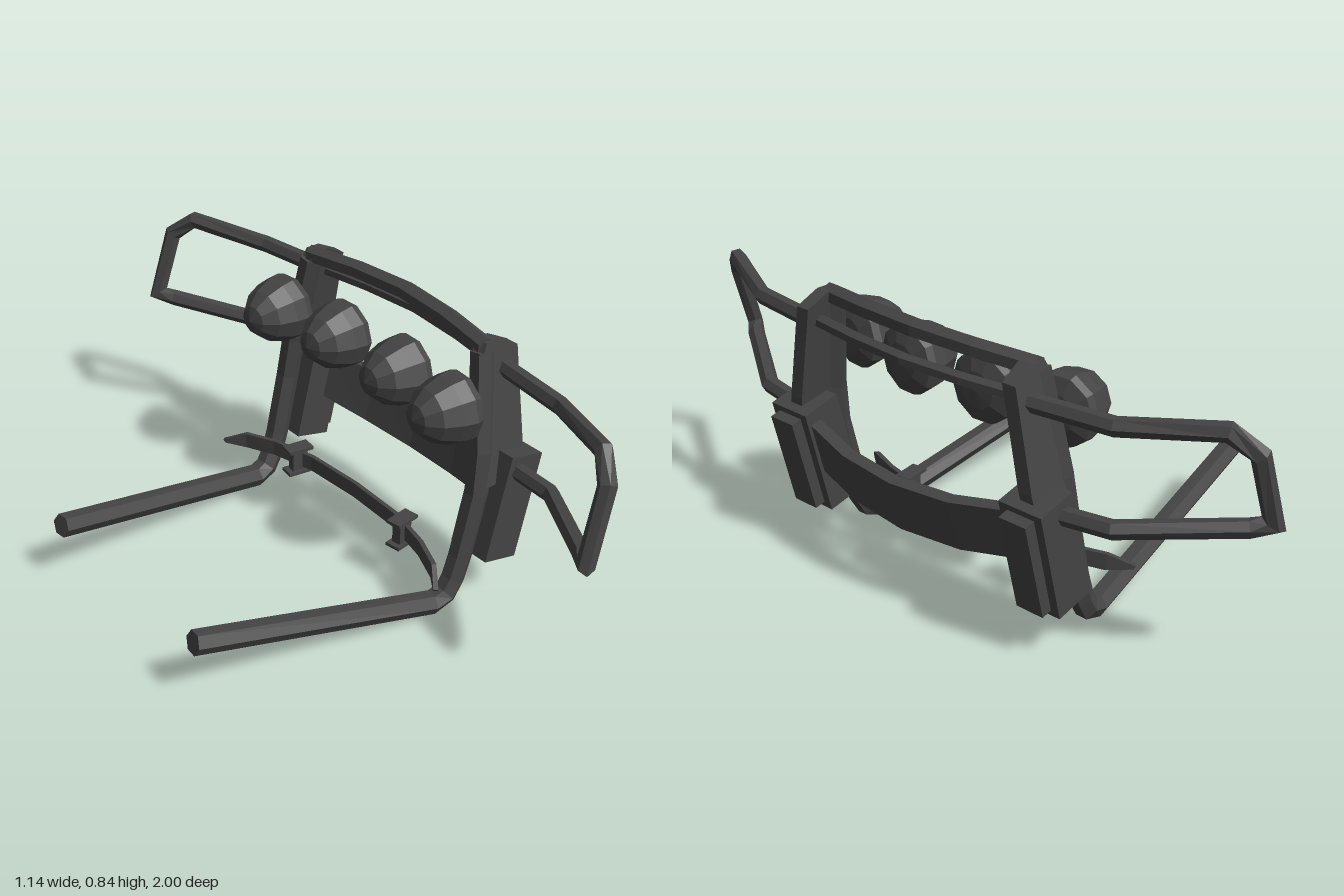
import * as THREE from 'three';

const material = new THREE.MeshStandardMaterial({ color: 0x444444, flatShading: true, roughness: 0.8 });
const V = (p) => new THREE.Vector3(...p);

// Sweeps a closed section [a, b] along a polyline with mitred corners.
// The a axis follows ref, the b axis is tangent x a.
function sweep(path, section, ref) {
  const pts = path.map(V), n = section.length, verts = [], index = [];
  pts.forEach((p, i) => {
    const t1 = i > 0 ? p.clone().sub(pts[i - 1]).normalize() : null;
    const t2 = i < pts.length - 1 ? pts[i + 1].clone().sub(p).normalize() : null;
    const before = t1 || t2, after = t2 || t1;
    const t = before.clone().add(after).normalize();
    const u = V(ref).addScaledVector(t, -V(ref).dot(t)).normalize();
    const w = t.clone().cross(u);
    const bend = after.clone().sub(before).normalize();
    const stretch = 1 / t.dot(after) - 1;
    for (const [a, b] of section) {
      const d = u.clone().multiplyScalar(a).addScaledVector(w, b);
      d.addScaledVector(bend, d.dot(bend) * stretch);
      verts.push(...d.add(p).toArray());
    }
  });
  for (let i = 0; i < pts.length - 1; i++) {
    for (let j = 0; j < n; j++) {
      const a = i * n + j, b = i * n + (j + 1) % n;
      index.push(a, b, b + n, a, b + n, a + n);
    }
  }
  const last = (pts.length - 1) * n;
  for (let j = 1; j < n - 1; j++) {
    index.push(0, j + 1, j, last, last + j, last + j + 1);
  }
  const g = new THREE.BufferGeometry();
  g.setAttribute('position', new THREE.Float32BufferAttribute(verts, 3));
  g.setIndex(index);
  const flat = g.toNonIndexed();
  flat.computeVertexNormals();
  return flat;
}

const round = (r, sides = 6) => Array.from({ length: sides }, (_, i) => {
  const a = (i / sides) * Math.PI * 2;
  return [r * Math.cos(a), r * Math.sin(a)];
});
const rect = (a, b) => [[a / 2, -b / 2], [a / 2, b / 2], [-a / 2, b / 2], [-a / 2, -b / 2]];
// Completes a half path that starts on the centre plane
const mirrored = (half) => [...half.slice(1).reverse().map(([x, y, z]) => [x, y, -z]), ...half];

export function createModel() {
  const model = new THREE.Group();
  const add = (name, geometry, parent = model) => {
    const mesh = new THREE.Mesh(geometry, material);
    mesh.name = name;
    parent.add(mesh);
    return mesh;
  };

  // Cross members, bowed forward in the middle
  add('topRail', sweep(mirrored([[0.45, 0.812, 0], [0.435, 0.808, 0.2], [0.405, 0.8, 0.385]]), round(0.03), [0, 1, 0]));
  add('middleRail', sweep(mirrored([[0.5, 0.74, 0], [0.485, 0.738, 0.2], [0.455, 0.735, 0.4]]), round(0.02), [0, 1, 0]));
  add('frontPanel', sweep(mirrored([[0.533, 0.328, 0], [0.518, 0.337, 0.2], [0.475, 0.365, 0.4]]), rect(0.16, 0.035), [0.23, 0.97, 0]));

  // Thin curved lower blade with tapered tips
  const blade = sweep(mirrored([[0.28, 0.18, 0], [0.27, 0.18, 0.2], [0.235, 0.178, 0.35], [0.195, 0.172, 0.45], [0.15, 0.16, 0.51]]), rect(0.05, 0.014), [0, 1, 0]);
  const pos = blade.attributes.position;
  for (let i = 0; i < pos.count; i++) {
    if (Math.abs(pos.getZ(i)) > 0.49) pos.setY(i, 0.158 + (pos.getY(i) - 0.16) * 0.2);
  }
  blade.computeVertexNormals();
  add('lowerBlade', blade);

  // Lamp profile: domed back, shallow lens in front
  const lampProfile = [[0, -0.15], [0.045, -0.135], [0.08, -0.095], [0.1, -0.04], [0.106, 0], [0.1, 0.022], [0.055, 0.04], [0, 0.044]]
    .map(([r, y]) => new THREE.Vector2(r, y));

  for (const s of [1, -1]) {
    const side = new THREE.Group();
    side.name = s > 0 ? 'leftSide' : 'rightSide';
    model.add(side);
    const m = (path) => path.map(([x, y, z]) => [x, y, z * s]);

    // Mounting arm that bends up into the upright
    add('mountingArm', sweep(m([
      [-0.565, 0.215, 0.34], [0.215, 0.037, 0.43], [0.262, 0.055, 0.435], [0.288, 0.1, 0.437],
      [0.31, 0.17, 0.438], [0.355, 0.37, 0.44], [0.37, 0.5, 0.43], [0.4, 0.79, 0.378],
    ]), round(0.036), [0, 0, 1]), side);

    // Broad upright plate leaning inward towards the top
    const outline = [[0.36, 0.4], [0.5, 0.4], [0.51, 0.5], [0.51, 0.785], [0.44, 0.82], [0.395, 0.82], [0.38, 0.79]];
    const shape = new THREE.Shape(outline.map(([x, y]) => new THREE.Vector2(x, y)));
    const plate = new THREE.ExtrudeGeometry(shape, { depth: 0.045, bevelEnabled: false });
    const pp = plate.attributes.position;
    for (let i = 0; i < pp.count; i++) {
      pp.setZ(i, pp.getZ(i) - 0.0225 + s * (0.437 - (pp.getY(i) - 0.48) * 0.185));
    }
    plate.computeVertexNormals();
    add('upright', plate, side);

    // Side guard loop, swept back at its outer end
    add('sideGuard', sweep(m([
      [0.465, 0.73, 0.38], [0.43, 0.73, 0.65], [0.32, 0.757, 0.9], [0.275, 0.7, 0.962],
      [0.215, 0.495, 0.975], [0.25, 0.482, 0.93], [0.43, 0.448, 0.65], [0.46, 0.435, 0.4],
    ]), round(0.026), [1, 0, 0]), side);

    // Bumper block with a raised face
    const block = new THREE.Group();
    block.name = 'bumperBlock';
    block.position.set(0.44, 0.32, 0.4385 * s);
    block.rotation.z = -0.225;
    side.add(block);
    add('blockBody', new THREE.BoxGeometry(0.123, 0.337, 0.143), block);
    add('blockFace', new THREE.BoxGeometry(0.04, 0.3, 0.09), block).position.x = 0.075;

    // Clamp on the lower blade: two plates joined by a block
    const clamp = new THREE.Group();
    clamp.name = 'bladeClamp';
    clamp.position.set(0.25, 0.18, 0.25 * s);
    clamp.rotation.y = 0.15 * s;
    side.add(clamp);
    add('clampBlock', new THREE.BoxGeometry(0.05, 0.07, 0.03), clamp);
    for (const e of [1, -1]) {
      add('clampPlate', new THREE.BoxGeometry(0.085, 0.01, 0.05), clamp).position.y = e * 0.04;
    }

    // Inner and outer lamps
    for (const [x, z, yaw] of [[0.335, 0.14, 0.05], [0.302, 0.385, 0.1]]) {
      const lamp = new THREE.LatheGeometry(lampProfile, 10);
      lamp.rotateZ(-Math.PI / 2);
      const mesh = add('lamp', lamp, side);
      mesh.position.set(x, 0.65, z * s);
      mesh.rotation.y = -yaw * s;
    }
  }
  return model;
}
